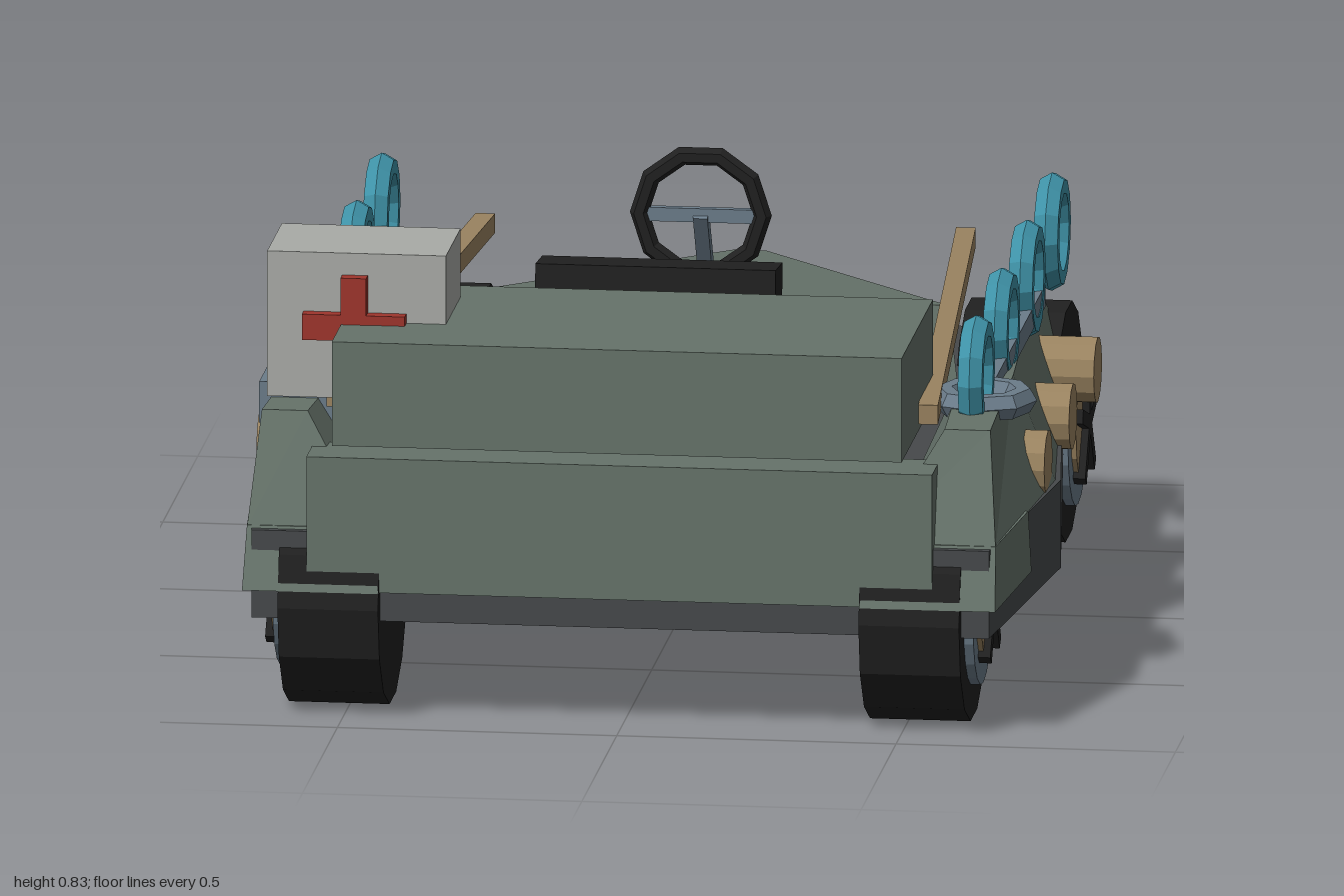
import * as THREE from 'three';

const mat = (name, color) => {
  const m = new THREE.MeshStandardMaterial({ color });
  m.name = name;
  return m;
};

export function createModel() {
  const green = mat('greyGreen', 0x66736a), dark = mat('hullGrey', 0x46494b);
  const black = mat('black', 0x202020), wood = mat('wood', 0x9a8360);
  const steel = mat('steel', 0x6b7c8a), teal = mat('teal', 0x3f93a8);
  const brown = mat('brown', 0x6b4a35), pale = mat('pale', 0xa9aba7);
  const red = mat('red', 0x9e352c), pad = mat('padGrey', 0x333638);

  const root = new THREE.Group();
  root.name = 'vehicle';

  // Faceted mesh helper
  const add = (name, geo, material, pos = [0, 0, 0], parent = root) => {
    const g = geo.index ? geo.toNonIndexed() : geo;
    g.computeVertexNormals();
    const mesh = new THREE.Mesh(g, material);
    mesh.name = name;
    mesh.position.set(...pos);
    parent.add(mesh);
    return mesh;
  };
  // Box given by its limits on each axis
  const box = (name, material, x0, x1, y0, y1, z0, z1, parent = root) =>
    add(name, new THREE.BoxGeometry(x1 - x0, y1 - y0, z1 - z0), material,
      [(x0 + x1) / 2, (y0 + y1) / 2, (z0 + z1) / 2], parent);
  // Cylinder along x
  const cylX = (r, len, sides) => new THREE.CylinderGeometry(r, r, len, sides).rotateZ(Math.PI / 2);
  // Square beam between two points
  const beam = (name, material, a, b, w, h) => {
    const p = new THREE.Vector3(...a), q = new THREE.Vector3(...b);
    const m = add(name, new THREE.BoxGeometry(w, h, p.distanceTo(q)), material);
    m.position.copy(p).add(q).multiplyScalar(0.5);
    m.lookAt(q);
    return m;
  };
  // Skin over four-cornered sections running from +z to -z
  const loft = (sections, side = 1) => {
    const S = sections.map(s => {
      const t = s.map(([x, y, z]) => [x * side, y, z]);
      return side < 0 ? t.reverse() : t;
    });
    const out = [];
    const quad = (a, b, c, d) => out.push(...a, ...b, ...c, ...a, ...c, ...d);
    quad(...S[0]);
    for (let k = 0; k < S.length - 1; k++) {
      for (let i = 0; i < 4; i++) {
        const j = (i + 1) % 4;
        quad(S[k][i], S[k + 1][i], S[k + 1][j], S[k][j]);
      }
    }
    quad(...[...S[S.length - 1]].reverse());
    const g = new THREE.BufferGeometry();
    g.setAttribute('position', new THREE.Float32BufferAttribute(out, 3));
    return g;
  };

  // Hull slab with pointed nose
  const half = [[0.6, -0.6], [0.72, 0.4], [0.66, 0.95]];
  const outline = [[0, -1], ...half, ...half.map(([x, z]) => [-x, z]).reverse()];
  const shape = new THREE.Shape(outline.map(p => new THREE.Vector2(...p)));
  const hull = new THREE.ExtrudeGeometry(shape, { depth: 0.16, bevelEnabled: false });
  add('hull', hull.rotateX(Math.PI / 2), dark, [0, 0.35, 0]);

  // Hood wedge
  add('hood', loft([
    [[-0.45, 0.35, -0.285], [0.45, 0.35, -0.285], [0.43, 0.49, -0.31], [-0.43, 0.49, -0.31]],
    [[-0.04, 0.35, -0.925], [0.04, 0.35, -0.925], [0.03, 0.435, -0.905], [-0.03, 0.435, -0.905]],
  ]), green);

  // Tail panel and raised trunk
  box('tailPanel', green, -0.56, 0.56, 0.245, 0.49, 0.85, 0.965);
  box('trunk', green, -0.51, 0.51, 0.52, 0.71, 0.55, 1);

  for (const s of [1, -1]) {
    // Leaning side wall and its lower tail section
    add('sideWall', loft([
      [[0.45, 0.35, 0.93], [0.67, 0.35, 0.935], [0.652, 0.55, 0.865], [0.57, 0.55, 0.865]],
      [[0.46, 0.35, 0.4], [0.71, 0.35, 0.4], [0.635, 0.54, 0.4], [0.545, 0.54, 0.4]],
      [[0.45, 0.35, -0.6], [0.6, 0.35, -0.6], [0.56, 0.472, -0.56], [0.5, 0.472, -0.56]],
    ], s), green);
    add('wallTail', loft([
      [[0.43, 0.245, 0.975], [0.674, 0.245, 0.975], [0.67, 0.355, 0.935], [0.45, 0.355, 0.935]],
      [[0.43, 0.245, 0.66], [0.7, 0.245, 0.66], [0.694, 0.355, 0.66], [0.45, 0.355, 0.66]],
    ], s), green);

    // Wooden top rail
    beam('rail', wood, [s * 0.43, 0.555, -0.56], [s * 0.53, 0.555, 0.78], 0.035, 0.035);

    // Log ends on the wall
    for (const z of [-0.25, 0.105, 0.46])
      add('log', cylX(0.06, 0.13, 12), wood, [s * 0.64, 0.395, z]);

    // Row of upright rings
    for (const z of [-0.435, -0.075, 0.29, 0.65])
      add('ring', new THREE.TorusGeometry(0.083, 0.025, 6, 12).rotateY(Math.PI / 2), teal, [s * 0.6, 0.6, z]);

    // Wheels
    for (const z of [-0.595, 0.765]) {
      const wheel = new THREE.Group();
      wheel.name = 'wheel';
      wheel.position.set(s * 0.52, 0.215, z);
      add('tyre', cylX(0.215, 0.18, 14), black, [0, 0, 0], wheel);
      add('rim', cylX(0.15, 0.02, 20), steel, [s * 0.097, 0, 0], wheel);
      add('hub', cylX(0.105, 0.02, 14), wood, [s * 0.106, 0, 0], wheel);
      for (let i = 0; i < 5; i++) {
        const g = new THREE.BoxGeometry(0.022, 0.115, 0.026).translate(0, 0.0575, 0);
        add('spoke', g.rotateX(i * Math.PI * 0.4), black, [s * 0.118, 0, 0], wheel);
      }
      root.add(wheel);
    }
  }

  // Seat
  box('seatCushion', black, -0.215, 0.215, 0.35, 0.46, -0.015, 0.45);
  const back = new THREE.Group();
  back.name = 'seatBack';
  back.position.set(0, 0.45, 0.42);
  back.rotation.x = -0.09;
  box('backrest', black, -0.215, 0.215, -0.02, 0.275, -0.05, 0.05, back);
  box('backPad', pad, -0.16, 0.16, 0.05, 0.235, -0.056, -0.049, back);
  root.add(back);

  // Steering wheel and column
  add('steeringWheel', new THREE.TorusGeometry(0.11, 0.017, 6, 10), black, [0, 0.67, -0.205]);
  box('steeringBar', steel, -0.1, 0.1, 0.655, 0.68, -0.215, -0.2);
  beam('steeringColumn', steel, [0, 0.67, -0.205], [0, 0.46, -0.335], 0.026, 0.026);

  // Tools on the walls
  beam('steelBar', steel, [0.6, 0.545, -0.18], [0.6, 0.545, 0.56], 0.04, 0.04);
  add('steelLoop', new THREE.TorusGeometry(0.07, 0.025, 6, 8).rotateX(Math.PI / 2), steel, [0.61, 0.548, 0.62]);
  box('plank', brown, -0.625, -0.58, 0.53, 0.575, -0.22, 0.53);
  box('steelCase', steel, -0.67, -0.53, 0.5, 0.575, 0.55, 0.76);

  // Aid box with red cross
  box('aidBox', pale, -0.645, -0.325, 0.57, 0.835, 0.635, 0.845);
  box('crossUpright', red, -0.511, -0.465, 0.61, 0.795, 0.845, 0.87);
  box('crossArm', red, -0.58, -0.396, 0.68, 0.727, 0.845, 0.869);

  return root;
}
